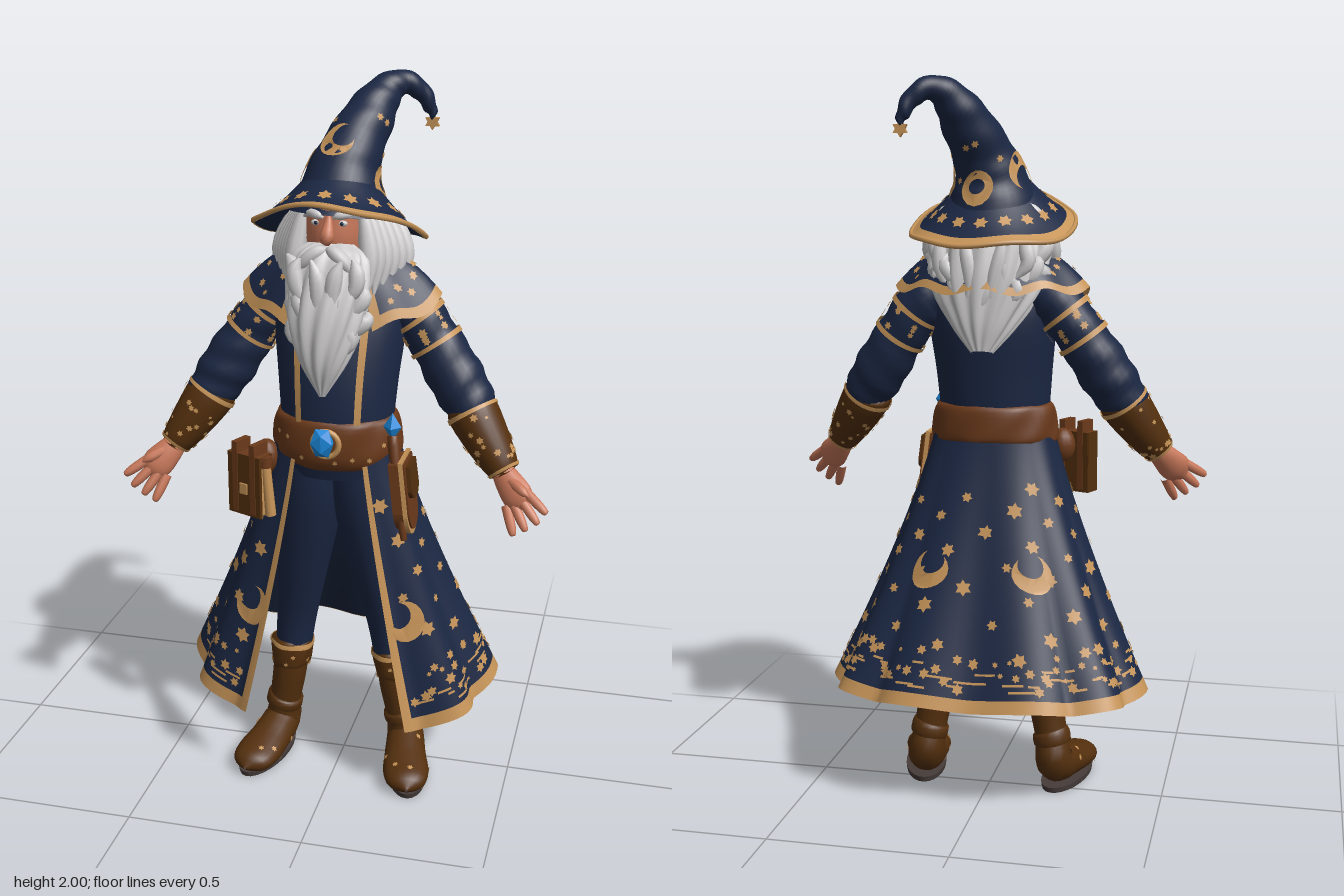
import * as THREE from 'three';
import { mergeGeometries, mergeVertices } from 'three/addons/utils/BufferGeometryUtils.js';

const V = (x, y, z) => new THREE.Vector3(x, y, z);
const TAU = Math.PI * 2;
const mat = (name, color, side = THREE.FrontSide) =>
  Object.assign(new THREE.MeshStandardMaterial({ color, side }), { name });

// Surface f(a, v): elliptical rings along a curve. Rows are [x, y, z, sideRadius, frontRadius].
function loft(rows, { ref = V(0, 0, 1), ripple = 0, folds = 9, twist = 5 } = {}) {
  const path = new THREE.CatmullRomCurve3(rows.map(r => V(r[0], r[1], r[2])), false, 'catmullrom');
  const size = new THREE.CatmullRomCurve3(rows.map(r => V(r[3], r[4] ?? r[3], 0)), false, 'catmullrom');
  return (a, v) => {
    v = Math.min(1, Math.max(0, v));
    const t = path.getTangent(v), r = size.getPoint(v);
    const f = ref.clone().addScaledVector(t, -t.dot(ref)).normalize();
    const s = f.clone().cross(t), k = 1 + ripple * Math.cos(folds * a + twist * v);
    return path.getPoint(v).addScaledVector(s, Math.sin(a) * r.x * k).addScaledVector(f, Math.cos(a) * r.y * k);
  };
}

// Surface moved out along its normal
const off = (surf, d) => (a, v) => {
  const e = 1e-3, da = surf(a + e, v).sub(surf(a - e, v)), dv = surf(a, v + e).sub(surf(a, v - e));
  return surf(a, v).addScaledVector(dv.cross(da).normalize(), d);
};

// Mesh geometry from a patch of a surface
function patch(surf, na = 20, nv = 16, a0 = 0, a1 = TAU, v0 = 0, v1 = 1) {
  const pos = [], idx = [];
  for (let j = 0; j <= nv; j++) for (let i = 0; i <= na; i++)
    pos.push(...surf(a0 + (a1 - a0) * i / na, v0 + (v1 - v0) * j / nv).toArray());
  for (let j = 0; j < nv; j++) for (let i = 0; i < na; i++) {
    const p = j * (na + 1) + i, q = p + na + 1;
    idx.push(p, q, p + 1, p + 1, q, q + 1);
  }
  let g = new THREE.BufferGeometry();
  g.setAttribute('position', new THREE.Float32BufferAttribute(pos, 3));
  g.setIndex(idx);
  g = mergeVertices(g, 1e-5);
  g.computeVertexNormals();
  return g;
}

// Flat emblems
const star = new THREE.Shape(Array.from({ length: 12 }, (_, i) => {
  const r = i % 2 ? 0.6 : 1, t = i * Math.PI / 6;
  return new THREE.Vector2(r * Math.sin(t), r * Math.cos(t));
}));
const moon = new THREE.Shape().absarc(0, 0, 1, 0.5, TAU - 0.5).absarc(0.45, 0, 0.642, TAU - 0.842, 0.842, true);
const ring = new THREE.Shape().absarc(0, 0, 1, 0, TAU);
ring.holes.push(new THREE.Path().absarc(0, 0, 0.5, 0, TAU, true));

// Wraps an emblem onto a surface
function decal(surf, shape, a, v, size, rot = 0) {
  const e = 1e-2, s = off(surf, 0.004);
  const ka = surf(a + e, v).distanceTo(surf(a - e, v)) / (2 * e), kv = surf(a, v + e).distanceTo(surf(a, v - e)) / (2 * e);
  const g = new THREE.ShapeGeometry(shape, 8).rotateZ(rot).scale(size, size, 1), p = g.attributes.position;
  g.deleteAttribute('uv');
  for (let i = 0; i < p.count; i++) p.setXYZ(i, ...s(a + p.getX(i) / ka, v - p.getY(i) / kv).toArray());
  g.computeVertexNormals();
  return g;
}

export function createModel() {
  const model = new THREE.Group();
  const D = THREE.DoubleSide;
  const navy = mat('navy cloth', 0x1b2743, D), dark = mat('dark lining', 0x18233a, D), gold = mat('gold trim', 0xc69458, D);
  const boot = mat('boot leather', 0x54300e, D), leather = mat('belt leather', 0x6b3a1b), sole = mat('sole', 0x463c3a);
  const skin = mat('skin', 0xc8785a), hair = mat('white hair', 0xcdcbcb), blue = mat('blue crystal', 0x1c8ade);
  let seed = 7;
  const rnd = () => (seed = (seed * 16807) % 2147483647) / 2147483647;
  const add = (name, g, m, x = 0, y = 0, z = 0) => {
    const o = new THREE.Mesh(g, m);
    o.name = name;
    o.position.set(x, y, z);
    model.add(o);
    return o;
  };

  // Torso with chest trim
  const torso = loft([[0, 1.54, .03, .08, .06], [0, 1.48, .03, .16, .08], [0, 1.36, .04, .18, .115], [0, 1.2, .065, .165, .125],
    [0, 1.06, .075, .155, .12], [0, .94, .07, .16, .1]]);
  add('torso', patch(torso, 32, 20), navy);
  for (const s of [-1, 1]) add('chestTrim', patch(off(torso, .006), 2, 10, s * .52 - .06, s * .52 + .06, .4, .82), gold);

  // Long open coat skirt with rounded folds
  const pw = t => Math.sign(t) * Math.abs(t) ** 0.8;
  const skirt = (a, v) => {
    const e = Math.max(0, v) ** 1.2, c = Math.cos(a), fold = 2 * Math.sqrt(Math.sin(5 * a) ** 2 + .01) - 1.2, k = 1 + .045 * e * fold;
    const hem = .31 - .1 * Math.max(0, c) + .008 * fold;
    return V(k * (.165 + .275 * e) * pw(Math.sin(a)), 1.06 + (hem - 1.06) * v, .075 - .085 * e + k * (.11 + .16 * e) * pw(c));
  };
  const A = .46, B = TAU - A, w = .09, H = .955;
  add('coatSkirt', patch(skirt, 120, 24, A + w, B - w, 0, H), navy);
  add('coatLining', patch(off(skirt, -.005), 120, 24, A + .02, B - .02, .02, .99), dark);
  add('hemTrim', patch(skirt, 120, 2, A, B, H, 1), gold);
  for (const a of [A, B - w]) add('coatEdgeTrim', patch(skirt, 3, 24, a, a + w, 0, H), gold);
  const marks = [];
  for (const [a, v, s, r] of [[.68, .62, .06, 2.2], [-.68, .62, .06, 2.2], [2.72, .53, .055, 1.3], [3.6, .53, .055, 1.8]])
    marks.push(decal(skirt, moon, a, v, s, r));
  for (let i = 0; i < 66; i++)
    marks.push(decal(skirt, star, A + .2 + (B - A - .4) * ((i * .618) % 1), .22 + .62 * ((i + rnd()) / 66), .013 + .012 * rnd(), rnd()));
  for (let i = 0; i < 90; i++)
    marks.push(decal(skirt, star, A + .15 + (B - A - .3) * (i + rnd()) / 90, .8 + .13 * rnd(), .007 + .011 * rnd(), rnd()));
  add('skirtEmblems', mergeGeometries(marks), gold);
  const stitches = [];
  for (let i = 0; i < 60; i++) {
    const a = A + .12 + (B - A - .4) * (i + rnd()) / 60, v = .84 + .09 * rnd();
    stitches.push(patch(off(skirt, .004), 4, 1, a, a + .06 + .1 * rnd(), v, v + .008));
  }
  add('skirtStitching', mergeGeometries(stitches), gold);

  // Pointed shoulder collar, open at the front
  const collar = (a, v) => {
    const s = Math.sin(a), c = Math.cos(a), k = 1 + .14 * v * s ** 8;
    return V(s * (.1 + .14 * v) * k, 1.555 - .02 * v - .105 * v * v - .07 * v * Math.max(0, c) + .01 * v * Math.cos(8 * a), .03 + c * (.08 + .075 * v) * k);
  };
  add('collar', patch(collar, 64, 8, .5, TAU - .5, 0, .9), navy);
  add('collarTrim', patch(collar, 64, 2, .5, TAU - .5, .9, 1), gold);
  for (const a of [.5, TAU - .62]) add('lapelTrim', patch(off(collar, .003), 2, 6, a, a + .12), gold);
  const spots = [];
  for (let i = 0; i < 26; i++) spots.push(decal(collar, star, .8 + i * .187, .55 + .3 * rnd(), .009 + .006 * rnd(), rnd()));
  add('collarStars', mergeGeometries(spots), gold);

  for (const s of [-1, 1]) {
    const L = (rows, o) => loft(rows.map(([x, ...r]) => [x * s, ...r]), o);

    // Arm, cuff and shoulder bands
    const arm = L([[.1, 1.43, .01, .045], [.18, 1.4, .01, .068], [.255, 1.305, .015, .07], [.32, 1.205, .03, .076], [.372, 1.125, .048, .066], [.42, 1.05, .07, .045]]);
    add('sleeve', patch((a, v) => off(arm, .003 * Math.sin(42 * v + 2 * Math.sin(a)))(a, v), 24, 28), navy);
    for (const v of [.27, .4]) add('sleeveBand', patch(off(arm, .007), 24, 2, 0, TAU, v, v + .022), gold);
    const bits = [];
    for (let i = 0; i < 24; i++) bits.push(decal(off(arm, .002), star, i * .9, .3 + .09 * rnd(), .007 + .007 * rnd()));
    add('sleeveStars', mergeGeometries(bits), gold);
    const cuff = L([[.362, 1.135, .045, .06], [.37, 1.12, .05, .07], [.42, 1.045, .075, .06], [.462, .985, .097, .044], [.467, .978, .1, .03]]);
    add('cuff', patch(cuff, 24, 12), boot);
    for (const v of [.2, .74]) add('cuffTrim', patch(off(cuff, .003), 24, 2, 0, TAU, v, v + .06), gold);
    const flecks = [];
    for (let i = 0; i < 34; i++) flecks.push(decal(cuff, star, i * 1.3, .3 + .42 * rnd(), .005 + .007 * rnd(), rnd()));
    add('cuffFlecks', mergeGeometries(flecks), gold);

    // Hand with fanned fingers
    add('palm', patch(L([[.445, 1, .09, .024, .022], [.478, .96, .115, .038, .026], [.512, .922, .138, .043, .023], [.532, .902, .148, .014, .01]]), 16, 10), skin);
    for (let k = -1.5; k < 2; k++) {
      const t = -.9 + k * .2, x = .503 + k * .016, y = .92 + k * .016, l = .086 - .007 * Math.abs(k - .3);
      add('finger', patch(L([0, .35, .7, .95, 1].map((q, i) =>
        [x + Math.cos(t) * l * q, y + Math.sin(t) * l * q, .138 + .04 * q, [.014, .014, .013, .009, .002][i]])), 8, 8), skin);
    }
    add('thumb', patch(L([[.47, .97, .115, .015], [.5, .96, .138, .015], [.525, .948, .158, .013], [.54, .94, .168, .002]]), 8, 8), skin);

    // Trouser leg and boot
    add('trouserLeg', patch(L([[.06, 1, .07, .09, .09], [.075, .85, .065, .09, .09], [.105, .65, .045, .075, .075], [.135, .46, .02, .06, .06], [.153, .3, .015, .05, .05]]), 20, 16), navy);
    const foot = L([[.153, .35, .015, .052], [.163, .25, .015, .05], [.18, .15, .01, .047], [.19, .08, .005, .058, .054],
      [.205, .055, .08, .05, .06], [.222, .043, .155, .04, .066], [.235, .037, .21, .031, .052], [.241, .033, .24, .004]], { ref: V(1, 0, 0) });
    add('boot', patch(foot, 20, 28), boot);
    const top = L([[.153, .37, .015, .05], [.153, .355, .015, .062], [.157, .31, .015, .06], [.16, .285, .015, .056], [.16, .28, .015, .046]], { ripple: .04, folds: 5 });
    add('bootCuff', patch(top, 30, 10), boot);
    add('bootCuffTrim', patch(off(top, .003), 30, 2, 0, TAU, .2, .3), gold);
    const scuffs = [];
    for (let i = 0; i < 10; i++) scuffs.push(decal(top, star, i * 1.1, .4 + .25 * rnd(), .008), decal(foot, star, i * 1.7 + (s > 0 ? 1.5 : 0), .52 + .3 * rnd(), .009, rnd()));
    add('bootFlecks', mergeGeometries(scuffs), gold);
    add('bootStrap', patch(L([[.176, .17, .011, .046], [.179, .16, .01, .054], [.183, .135, .01, .054], [.184, .13, .01, .046]]), 20, 6), boot);
    const under = add('bootSole', new THREE.CylinderGeometry(1, .97, .016, 24).scale(.06, 1, .145), sole, .214 * s, .008, .092);
    under.rotation.y = .2 * s;
  }

  // Belt, buckle and gems
  const belt = loft([[0, 1.115, .073, .15, .115], [0, 1.1, .073, .17, .131], [0, 1.05, .073, .178, .135], [0, 1.005, .072, .178, .132], [0, .99, .07, .155, .11]],
    { ripple: .015, folds: 8, twist: 9 });
  add('belt', patch(belt, 48, 14), leather);
  const studs = [];
  for (let i = 0; i < 10; i++) studs.push(decal(belt, star, -1.2 + i * .267, .35 + .4 * rnd(), .008));
  add('beltStuds', mergeGeometries(studs), gold);
  add('buckle', new THREE.TorusGeometry(.036, .008, 8, 20), gold, 0, 1.055, .208);
  add('buckleGem', new THREE.IcosahedronGeometry(.035).scale(1, 1.3, .6), blue, -.008, 1.06, .216);
  add('wandCrystal', new THREE.OctahedronGeometry(.026).scale(.95, 1.5, .95), blue, .17, 1.1, .155);
  add('wand', patch(loft([[.17, 1.075, .155, .004], [.172, 1.065, .156, .016], [.19, .95, .18, .012], [.21, .8, .185, .01], [.211, .79, .185, .002]]), 10, 10), leather);

  // Side sheath with trim
  const pouch = new THREE.Shape().moveTo(-.055, .1).lineTo(-.06, -.04).quadraticCurveTo(-.05, -.1, 0, -.1).quadraticCurveTo(.05, -.1, .06, -.04).lineTo(.055, .1);
  const sheath = new THREE.ExtrudeGeometry(pouch, { depth: .045, bevelEnabled: false }).rotateY(Math.PI / 2);
  add('sheath', sheath, leather, .178, .905, .14).rotation.z = .12;
  add('sheathTrim', sheath.clone().scale(.25, 1.1, 1.1), gold, .207, .905, .14).rotation.z = .12;
  const flap = new THREE.ExtrudeGeometry(pouch, { depth: .05, bevelEnabled: false }).rotateY(Math.PI / 2).scale(1, .5, .8);
  add('sheathFlap', flap, boot, .18, .945, .14).rotation.z = .12;

  // Book hanging on the other hip
  const book = new THREE.Group();
  book.name = 'book';
  const box = (name, m, sx, sy, sz, x = 0, y = 0, z = 0) => {
    const o = new THREE.Mesh(new THREE.BoxGeometry(sx, sy, sz), m);
    o.name = name;
    o.position.set(x, y, z);
    book.add(o);
  };
  box('pages', gold, .098, .155, .036, 0, -.005);
  for (const z of [-.022, .022]) box('bookCover', boot, .11, .175, .01, 0, 0, z);
  box('bookSpine', boot, .01, .175, .05, -.052);
  box('bookTop', leather, .108, .012, .05, 0, .082);
  for (const x of [-.03, .03]) box('bookStrap', leather, .018, .2, .058, x, .02);
  box('bookClasp', gold, .025, .03, .008, 0, -.01, .028);
  book.position.set(-.213, .925, .205);
  book.rotation.y = -.4;
  model.add(book);
  add('scroll', new THREE.CylinderGeometry(.013, .015, .15, 10), gold, -.158, .915, .22).rotation.z = .08;
  add('scrollCap', new THREE.CylinderGeometry(.018, .018, .03, 10), leather, -.164, .995, .22);
  add('hipPouch', new THREE.SphereGeometry(.045, 14, 10).scale(.8, 1.1, .8), leather, -.185, .98, .14);

  // Head and face
  add('head', patch(loft([[0, 1.74, .07, .03], [0, 1.7, .08, .075, .08], [0, 1.64, .085, .08, .085], [0, 1.58, .085, .076, .085], [0, 1.5, .07, .06, .06], [0, 1.46, .05, .05]]), 24, 16), skin);
  add('nose', patch(loft([[0, 1.665, .158, .006], [0, 1.64, .17, .012], [0, 1.607, .188, .019, .017], [0, 1.588, .178, .006]]), 12, 10), skin);
  for (const s of [-1, 1]) {
    add('eye', new THREE.SphereGeometry(.012, 12, 8).scale(1.2, .7, .6), hair, .034 * s, 1.64, .159);
    add('pupil', new THREE.SphereGeometry(.005, 8, 6), dark, .034 * s, 1.64, .165);
    add('eyebrow', patch(loft([[.012 * s, 1.655, .172, .003], [.03 * s, 1.662, .17, .011, .01], [.055 * s, 1.662, .152, .01], [.078 * s, 1.645, .125, .002]]), 8, 10), hair);
    add('moustache', patch(loft([[0, 1.578, .19, .006], [.022 * s, 1.573, .203, .017], [.055 * s, 1.545, .205, .018], [.085 * s, 1.5, .2, .003]]), 10, 10), hair);
    // Whiskers joining hair and beard, spilling over the collar
    for (let i = 0; i < 6; i++)
      add('whisker', patch(loft([[(.075 + .004 * i) * s, 1.675, .12 - .025 * i, .008], [(.088 + .01 * i) * s, 1.62, .125 - .025 * i, .021],
        [(.1 + .014 * i) * s, 1.54, .14 - .025 * i, .026], [(.1 + .014 * i) * s, 1.45 + .004 * i, .17 - .025 * i, .003]]), 8, 10), hair);
  }

  // Beard and hair, each a rippled mass with hanging locks
  add('beard', patch(loft([[0, 1.585, .15, .06, .02], [0, 1.55, .16, .098, .055], [0, 1.47, .18, .106, .075], [0, 1.38, .205, .094, .076], [0, 1.29, .228, .06, .055], [0, 1.2, .242, .008]],
    { ripple: .07, folds: 11, twist: 9 }), 66, 24), hair);
  add('hair', patch(loft([[0, 1.69, .045, .07, .06], [0, 1.64, .03, .11, .08], [0, 1.56, .005, .16, .1], [0, 1.44, -.035, .15, .09], [0, 1.34, -.075, .09, .055], [0, 1.265, -.1, .03, .02]],
    { ripple: .06, folds: 13, twist: 6 }), 78, 24), hair);
  const lock = (a, x, z, cz, y0, y1, k, lean) => patch(loft([0, .25, .6, 1].map((q, i) => [
    Math.sin(a) * x * (1 - k * q * q) + .012 * Math.sin(6 * q + a * 5), y0 + (y1 - y0) * q, cz + lean * q + Math.cos(a) * z * (1 - .3 * q),
    [.004, .021, .02, .002][i]])), 8, 10);
  for (let i = 0; i < 15; i++) {
    const a = -1.4 + i * .2, row = i % 3;
    add('beardLock', lock(a, .1, .064, .175, 1.56 - .07 * row, 1.37 - .06 * row + .06 * Math.abs(a), .45, .03), hair);
  }
  for (let i = 0; i < 22; i++) {
    const a = 1.15 + i * .19, side = Math.abs(Math.sin(a));
    add('hairLock', lock(a, .16, .09, -.005, 1.58 - .05 * (i % 3), 1.29 + .16 * side + .04 * (i % 2), .3, -.045), hair);
  }

  // Hat: curled cone and tilted brim
  const cone = loft([[.205, 1.865, -.168, .006], [.197, 1.895, -.165, .018], [.17, 1.942, -.15, .026], [.125, 1.963, -.125, .034], [.085, 1.935, -.095, .05],
    [.055, 1.88, -.055, .068], [.022, 1.8, 0, .082], [.005, 1.73, .03, .102], [0, 1.64, .045, .135]]);
  add('hatCone', patch((a, v) => off(cone, .002 * Math.sin(50 * v + 2 * Math.sin(a)))(a, v), 32, 48), navy);
  const brim = (a, v) => {
    const r = .1 + .122 * v, s = Math.sin(a), z = Math.cos(a) * r;
    return V(s * r * 1.03, 1.63 + z * .33 - .03 * s * s * v + .085 * Math.max(0, 1 - v) ** 1.4 + .005 * v * Math.cos(5 * a + 1), .047 + z);
  };
  add('hatBrim', patch(brim, 64, 8, 0, TAU, 0, .78), navy);
  add('hatBrimTrim', patch(off(brim, .002), 64, 3, 0, TAU, .78, 1), gold);
  add('hatBrimUnderside', patch(off(brim, -.007), 64, 8, 0, TAU, 0, .98), navy);
  add('hatBrimEdge', new THREE.TubeGeometry(new THREE.CatmullRomCurve3(Array.from({ length: 32 }, (_, i) => brim(i / 32 * TAU, .99)), true), 96, .007, 6, true), gold);
  const badges = [decal(cone, moon, -.4, .765, .045, .9), decal(cone, ring, 1.6, .865, .052), decal(cone, ring, 2.95, .86, .045),
    decal(cone, moon, -1.85, .85, .052, -1.57)];
  for (let i = 0; i < 10; i++) badges.push(decal(cone, star, i * 2.4 + .5, .64 + .03 * (i % 8), .011));
  for (let i = 0; i < 16; i++) badges.push(decal(brim, star, i * TAU / 16, .48, .021, i));
  add('hatEmblems', mergeGeometries(badges), gold);
  const charm = new THREE.ExtrudeGeometry(star, { depth: .6, bevelEnabled: false }).scale(.022, .022, .022);
  add('hatTipStar', charm, gold, .203, 1.857, -.175);

  return model;
}
